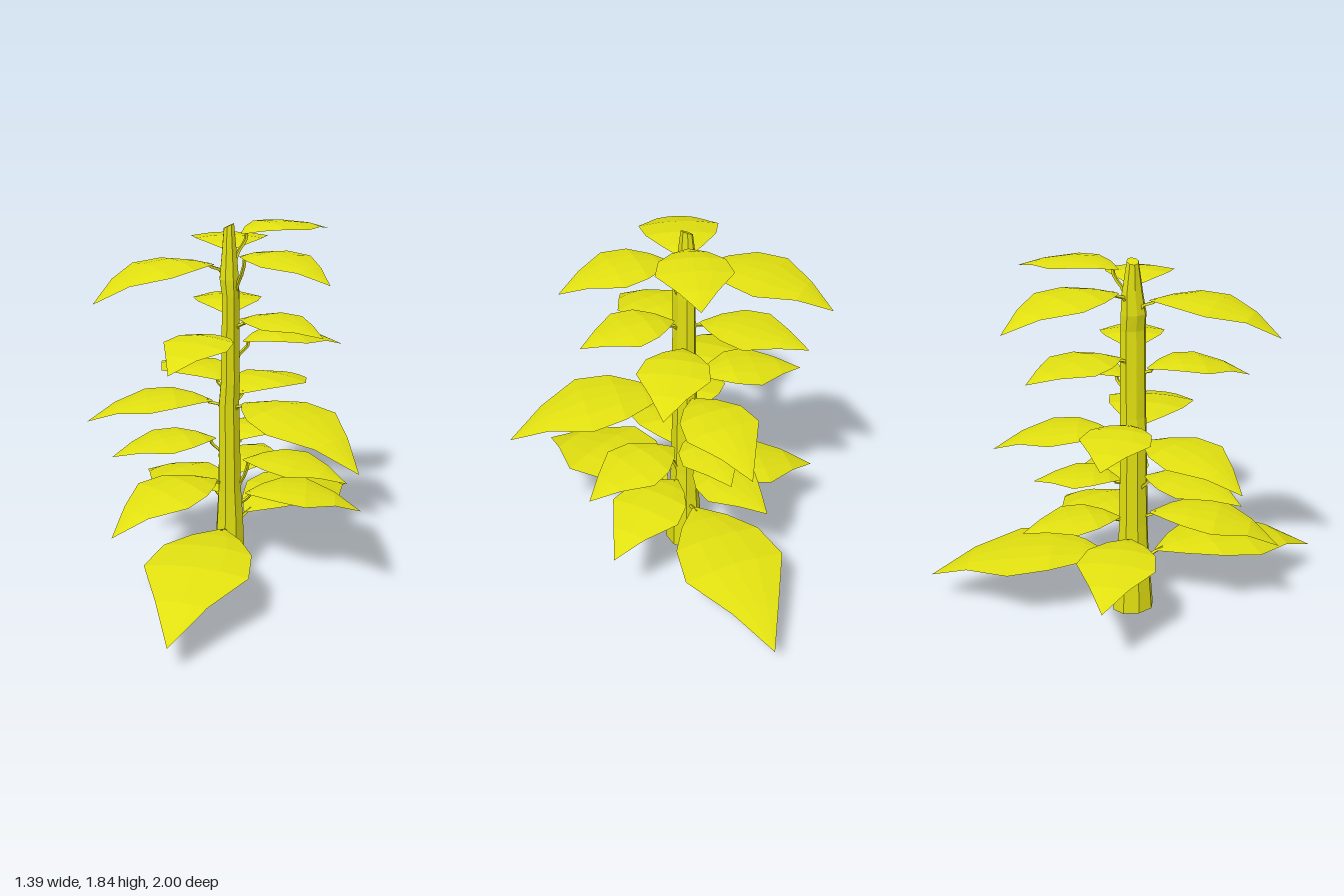
import * as THREE from 'three';

const STEM_X = -0.05, STEM_Z = -0.04;

// Stem rings: height, left edge, right edge, back edge, front edge
const RINGS = [
  [0, -0.135, 0.035, -0.15, 0.07],
  [0.33, -0.117, 0.022, -0.122, 0.045],
  [0.48, -0.108, 0.012, -0.115, 0.04],
  [0.95, -0.102, 0.002, -0.105, 0.033],
  [1.06, -0.092, 0.005, -0.105, 0.032],
  [1.5, -0.082, 0.002, -0.1, 0.03],
  [1.58, -0.096, 0, -0.1, 0.03],
  [1.68, -0.088, -0.01, -0.095, 0.012],
  [1.83, -0.076, -0.025, -0.07, -0.01],
];

// Leaves: tip x, y, z, highest point, and how far below it the stalk joins the stem
const LEAVES = [
  [-0.03, 0.15, 1.0, 0.345, 0.1],
  [0.38, 0.155, -1.0, 0.345, 0.1],
  [0.61, 0.37, -0.18, 0.495, 0.13],
  [-0.64, 0.365, -0.42, 0.475, 0.09],
  [-0.45, 0.43, 0.58, 0.595, 0.09],
  [-0.02, 0.515, -0.61, 0.57, 0.08],
  [0.57, 0.6, 0.02, 0.69, 0.24],
  [-0.54, 0.735, 0.32, 0.805, 0.14],
  [0.13, 0.715, -0.5, 0.765, 0.08],
  [-0.7, 0.875, 0.24, 1.0, 0.08],
  [0.695, 0.83, 0.43, 1.01, 0.1],
  [0.2, 0.89, -0.68, 1.01, 0.1],
  [-0.53, 1.02, -0.38, 1.085, 0.1],
  [-0.17, 1.245, 0.525, 1.345, 0.08],
  [0.45, 1.2, -0.36, 1.295, 0.13],
  [0.46, 1.365, 0.15, 1.425, 0.1],
  [-0.24, 1.365, -0.625, 1.42, 0.08],
  [-0.535, 1.54, 0.49, 1.695, 0.09],
  [0.5, 1.635, 0.23, 1.735, 0.24],
  [-0.25, 1.61, -0.73, 1.735, 0.09],
  [0.345, 1.76, -0.48, 1.825, 0.16],
];

// Blade stations: distance along, half width, share of the fall to the tip
const STATIONS = [
  [0.12, 0.05, 0], [0.24, 0.48, 0], [0.39, 0.86, 0],
  [0.58, 1, 0.08], [0.8, 0.48, 0.4], [1, 0, 1],
];
const START_DIP = [0.04, 0.015, 0, 0, 0, 0];
const ACROSS = [-1, -0.45, 0, 0.45, 1];

function createStem(material) {
  const n = RINGS.length - 1;
  const geo = new THREE.CylinderGeometry(1, 1, 1, 8, n);
  const pos = geo.attributes.position;
  for (let i = 0; i < pos.count; i++) {
    const [y, x0, x1, z0, z1] = RINGS[Math.round((pos.getY(i) + 0.5) * n)];
    const px = pos.getX(i), pz = pos.getZ(i);
    const slant = y > 1.8 ? 0.012 * px : 0;
    pos.setXYZ(i, (x0 + x1) / 2 + px * (x1 - x0) / 2, y + slant, (z0 + z1) / 2 + pz * (z1 - z0) / 2);
  }
  geo.computeVertexNormals();
  const stem = new THREE.Mesh(geo, material);
  stem.name = 'stem';
  return stem;
}

// Arched leaf blade and its curved stalk
function createLeaf([tx, ty, tz, peak, rise], material) {
  const dx = tx - STEM_X, dz = tz - STEM_Z;
  const length = Math.hypot(dx, dz);
  const ux = dx / length, uz = dz / length;
  const half = 0.06 + 0.19 * length;
  const at = (along, y, side = 0) => new THREE.Vector3(
    STEM_X + ux * along + uz * side, y, STEM_Z + uz * along - ux * side);

  const points = [], index = [];
  STATIONS.forEach(([t, w, fall], i) => {
    const y = peak - START_DIP[i] - fall * (peak - ty);
    for (const s of ACROSS) {
      const droop = 0.1 * half * w * s * s;
      points.push(at(t * length, y - droop, s * w * half));
    }
  });
  const cols = ACROSS.length;
  for (let i = 0; i < STATIONS.length - 1; i++) {
    for (let j = 0; j < cols - 1; j++) {
      const a = i * cols + j, b = a + 1, c = a + cols, d = c + 1;
      index.push(a, b, c);
      if (i < STATIONS.length - 2) index.push(b, d, c);
    }
  }
  const geo = new THREE.BufferGeometry().setFromPoints(points);
  geo.setIndex(index);
  geo.computeVertexNormals();
  const blade = new THREE.Mesh(geo, material);
  blade.name = 'leafBlade';

  const start = peak - rise;
  const path = new THREE.CatmullRomCurve3([
    at(0.03, start - 0.02),
    at(0.055, start + rise * 0.25),
    at(0.08 + length * 0.02, peak - 0.04 - (rise - 0.04) * 0.3),
    at(length * 0.15 + 0.01, peak - 0.035),
  ]);
  const stalk = new THREE.Mesh(new THREE.TubeGeometry(path, 5, 0.009, 4), material);
  stalk.name = 'leafStalk';

  const leaf = new THREE.Group();
  leaf.name = 'leaf';
  leaf.add(blade, stalk);
  return leaf;
}

export function createModel() {
  const material = new THREE.MeshStandardMaterial({ color: 0xe0df10 });
  material.name = 'yellowGreen';
  material.flatShading = true;
  material.side = THREE.DoubleSide;

  const plant = new THREE.Group();
  plant.name = 'plant';
  plant.add(createStem(material));
  for (const leaf of LEAVES) plant.add(createLeaf(leaf, material));
  return plant;
}
